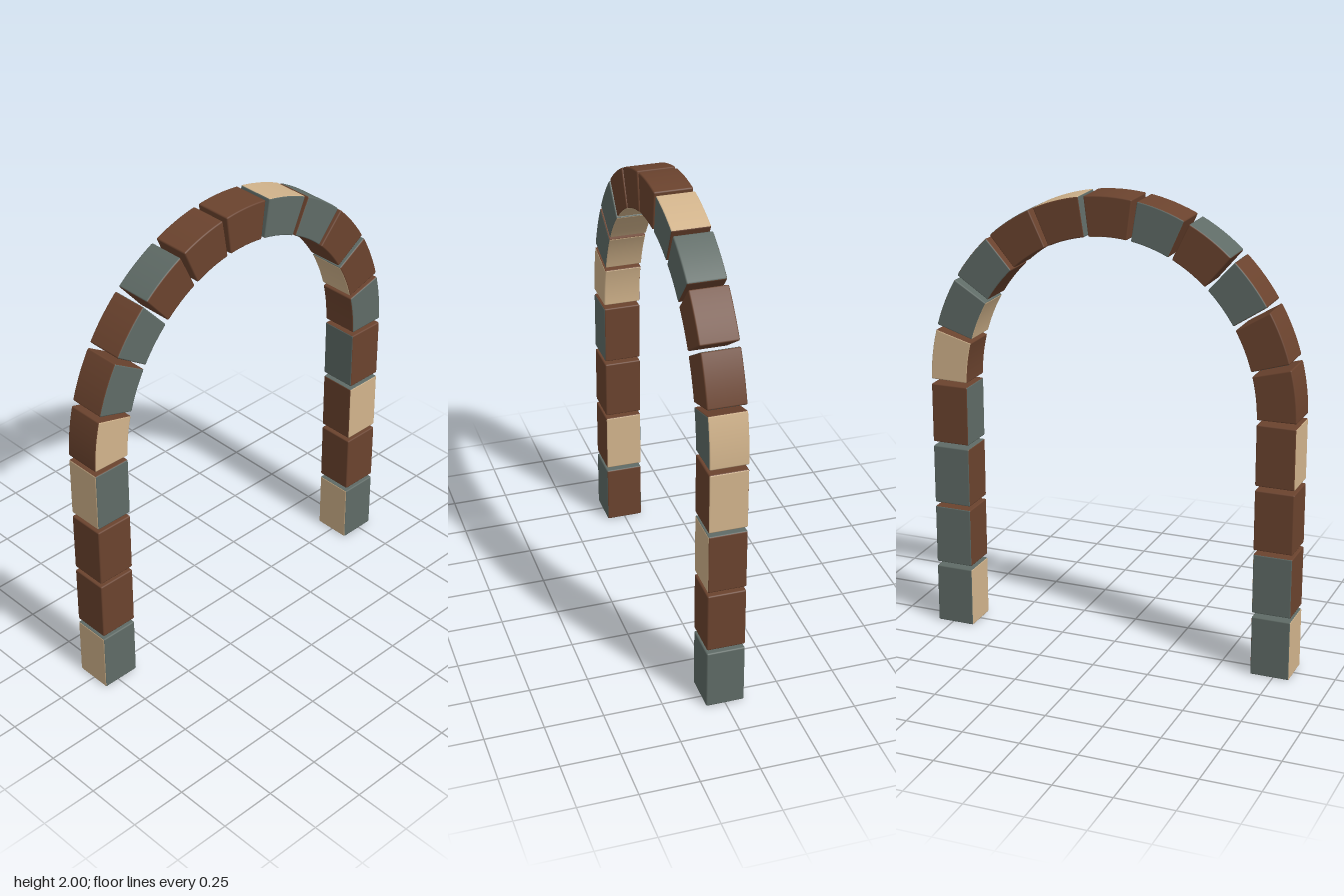
import * as THREE from 'three';

const materials = {
  B: new THREE.MeshStandardMaterial({ name: 'brown', color: 0x6b432e }),
  G: new THREE.MeshStandardMaterial({ name: 'slateGreen', color: 0x5f6b66 }),
  T: new THREE.MeshStandardMaterial({ name: 'tan', color: 0xd2b48c }),
};

// One letter per block, running from the -x foot over the arch to the +x foot
const faceColours = {
  end: 'GBBBBBGBBBBBBGBGBGB',
  start: 'GBGBBGBBBBGBBGBBGBG',
  outer: 'TBBTBBBGBBTGBBTTBBG',
  inner: 'BTBBTTTTTTBBBTBGBBT',
  front: 'GBBGTGGBBBGGBBGBTBG',
  back: 'GGBBBBGBGBBBGGTBGGG',
};

const LEG = 4, ARCH = 11;            // blocks per leg, blocks in the arch
const THICK = 0.17, DEPTH = 0.164;
const HEIGHT = 0.265, PITCH = 0.283; // leg block and its spacing
const RX = 0.735, RY = 0.791, SPRING = 1.124; // centre line of the arch
const EDGE = 0.006, SEG = 8;

// Box with softened edges: x along the path, y outward, z to the front
function softBlock(length) {
  const geo = new THREE.BoxGeometry(1, 1, 1, SEG, 4, 4);
  const pos = geo.attributes.position, nor = geo.attributes.normal;
  const half = new THREE.Vector3(length, THICK, DEPTH).multiplyScalar(0.5);
  const core = half.clone().subScalar(EDGE);
  const segs = { x: SEG, y: 4, z: 4 };
  const p = new THREE.Vector3(), c = new THREE.Vector3(), n = new THREE.Vector3();
  for (let i = 0; i < pos.count; i++) {
    p.fromBufferAttribute(pos, i);
    for (const a of ['x', 'y', 'z']) {
      const k = Math.round(p[a] * segs[a]), last = segs[a] / 2;
      p[a] = Math.abs(k) === last ? Math.sign(k) * half[a] : (k / (last - 1)) * core[a];
    }
    c.copy(p).clamp(core.clone().negate(), core);
    n.subVectors(p, c).normalize();
    p.copy(c).addScaledVector(n, EDGE);
    pos.setXYZ(i, p.x, p.y, p.z);
    nor.setXYZ(i, n.x, n.y, n.z);
  }
  return geo;
}

// Bend a block along the arch around the angle t0, measured from the top
function bend(geo, t0, span, length) {
  const pos = geo.attributes.position, nor = geo.attributes.normal;
  for (let i = 0; i < pos.count; i++) {
    const t = t0 + (pos.getX(i) / length) * span, h = pos.getY(i);
    const s = Math.sin(t), c = Math.cos(t);
    const nx = nor.getX(i), ny = nor.getY(i);
    pos.setXY(i, (RX + h) * s, SPRING + (RY + h) * c);
    nor.setXY(i, nx * c + ny * s, ny * c - nx * s);
  }
  return geo;
}

export function createModel() {
  const group = new THREE.Group();
  group.name = 'blockArch';

  const addBlock = (geo, index, name) => {
    const mats = Object.values(faceColours).map((row) => materials[row[index]]);
    const mesh = new THREE.Mesh(geo, mats);
    mesh.name = name;
    group.add(mesh);
  };

  // Two straight legs
  for (const side of [-1, 1]) {
    for (let i = 0; i < LEG; i++) {
      const geo = softBlock(HEIGHT);
      geo.rotateZ((-side * Math.PI) / 2);
      geo.translate(side * RX, HEIGHT / 2 + i * PITCH, 0);
      const index = side < 0 ? i : 2 * LEG + ARCH - 1 - i;
      addBlock(geo, index, (side < 0 ? 'rightLegBlock' : 'leftLegBlock') + (i + 1));
    }
  }

  // Wedge blocks of the arch
  const step = Math.PI / ARCH, span = step - 0.026;
  const length = span * 0.77;
  for (let i = 0; i < ARCH; i++) {
    const t = (i - (ARCH - 1) / 2) * step;
    addBlock(bend(softBlock(length), t, span, length), LEG + i, 'archBlock' + (i + 1));
  }
  return group;
}
